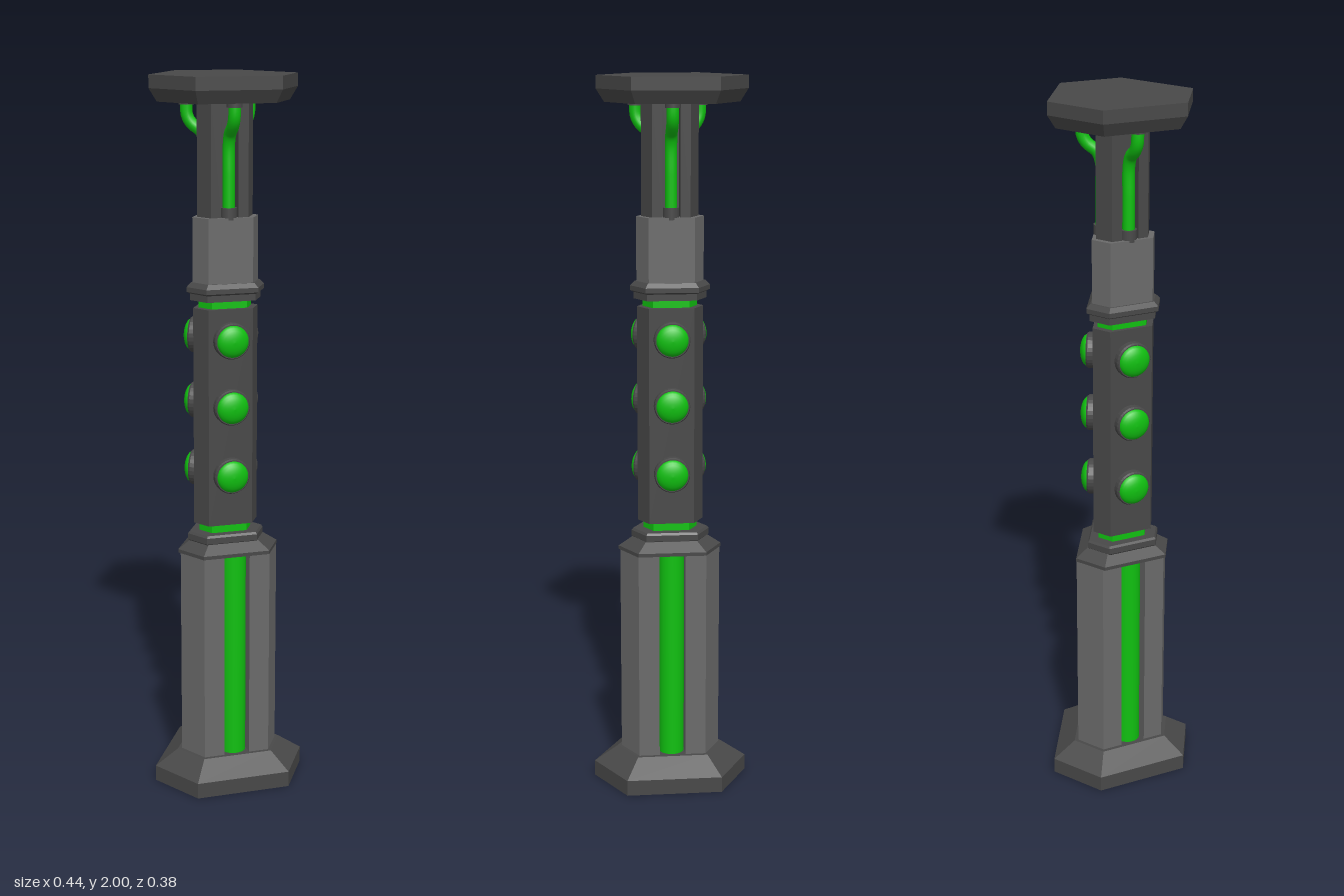
import * as THREE from 'three';

const DARK = 0x484848, LIGHT = 0x6a6a6a, GREEN = 0x10c010;
const mat = (color, flatShading = false) => new THREE.MeshStandardMaterial({ color, flatShading });

function add(parent, name, geometry, color, flat = false) {
  const mesh = new THREE.Mesh(geometry, mat(color, flat));
  mesh.name = name;
  parent.add(mesh);
  return mesh;
}

// Hexagon with three long sides (a) alternating with three short ones (b);
// each long side may carry a rectangular groove.
function hexPoints(a, b, grooveHalf = 0, grooveDepth = 0) {
  const d = (a + 2 * b) / (2 * Math.sqrt(3));
  const points = [];
  for (const deg of [-90, 30, 150]) {
    const t = THREE.MathUtils.degToRad(deg), c = Math.cos(t), s = Math.sin(t);
    const put = (along, out) => points.push(new THREE.Vector2(out * c - along * s, out * s + along * c));
    put(-a / 2, d);
    if (grooveHalf) {
      put(-grooveHalf, d);
      put(-grooveHalf, d - grooveDepth);
      put(grooveHalf, d - grooveDepth);
      put(grooveHalf, d);
    }
    put(a / 2, d);
  }
  return points;
}

// Solid through stacked hexagons, each given as [long, short, y]
function hexStack(levels) {
  const pos = [];
  const rings = levels.map(([a, b, y]) => hexPoints(a, b).map(p => [p.x, y, -p.y]));
  const tri = (...corners) => corners.forEach(c => pos.push(...c));
  const last = rings.length - 1;
  for (let i = 0; i < 6; i++) {
    const j = (i + 1) % 6;
    for (let k = 0; k < last; k++) {
      tri(rings[k][i], rings[k][j], rings[k + 1][j]);
      tri(rings[k][i], rings[k + 1][j], rings[k + 1][i]);
    }
    tri([0, levels[last][2], 0], rings[last][i], rings[last][j]);
    tri([0, levels[0][2], 0], rings[0][j], rings[0][i]);
  }
  const g = new THREE.BufferGeometry();
  g.setAttribute('position', new THREE.Float32BufferAttribute(pos, 3));
  g.computeVertexNormals();
  return g;
}

// Upright grooved hexagonal bar
function groovedBar(a, b, half, depth, y0, y1) {
  const g = new THREE.ExtrudeGeometry(new THREE.Shape(hexPoints(a, b, half, depth)),
    { depth: y1 - y0, bevelEnabled: false });
  return g.rotateX(-Math.PI / 2).translate(0, y0, 0);
}

// Vertical cylinder at distance z in front of the axis
const rod = (r, y0, y1, z) =>
  new THREE.CylinderGeometry(r, r, y1 - y0, 24).translate(0, (y0 + y1) / 2, z);

// Repeats a part on the three long sides
function onThreeSides(parent, name, build) {
  for (let i = 0; i < 3; i++) {
    const side = new THREE.Group();
    side.name = name + (i + 1);
    side.rotation.y = i * Math.PI * 2 / 3;
    build(side);
    parent.add(side);
  }
}

export function createModel() {
  const model = new THREE.Group();
  model.name = 'pylon';

  // Foot and grooved lower column
  const lower = new THREE.Group();
  lower.name = 'lowerSection';
  lower.position.z = 0.018;
  model.add(lower);
  add(lower, 'foot', hexStack([[0.27, 0.17, 0], [0.27, 0.17, 0.045], [0.2, 0.105, 0.09]]), DARK, true);
  add(lower, 'lowerColumn', groovedBar(0.19, 0.092, 0.037, 0.05, 0.085, 0.69), LIGHT, true);
  onThreeSides(lower, 'lightStrip', side => add(side, 'strip', rod(0.036, 0.085, 0.692, 0.069), GREEN));

  // Upper section, slightly off the foot's axis
  const upper = new THREE.Group();
  upper.name = 'upperSection';
  upper.position.set(-0.008, 0, 0.02);
  model.add(upper);
  const shoulder = add(upper, 'shoulder',
    hexStack([[0.19, 0.1, 0.688], [0.19, 0.1, 0.698], [0.145, 0.07, 0.722]]), DARK, true);
  shoulder.position.x = 0.005;
  add(upper, 'lowerCollar',
    hexStack([[0.14, 0.07, 0.718], [0.145, 0.075, 0.723], [0.145, 0.075, 0.74], [0.14, 0.07, 0.746]]), DARK, true);
  add(upper, 'lowerGlowBand', hexStack([[0.1, 0.05, 0.74], [0.1, 0.05, 0.775]]), GREEN, true);
  add(upper, 'lampHousing', hexStack([[0.125, 0.058, 0.77], [0.125, 0.058, 1.38]]), DARK, true);
  add(upper, 'upperGlowBand', hexStack([[0.1, 0.05, 1.375], [0.1, 0.05, 1.41]]), GREEN, true);
  add(upper, 'upperCollar', hexStack([[0.135, 0.065, 1.402], [0.135, 0.065, 1.42], [0.145, 0.075, 1.425],
    [0.145, 0.075, 1.438], [0.13, 0.065, 1.45]]), DARK, true);
  add(upper, 'sleeve', hexStack([[0.125, 0.06, 1.445], [0.125, 0.06, 1.626]]), LIGHT, true);
  add(upper, 'neck', groovedBar(0.104, 0.052, 0.024, 0.032, 1.62, 1.94), DARK, true);

  // Domed lamps in round bezels
  const bezelProfile = [[0, 0.06], [0.05, 0.06], [0.05, 0.086], [0.047, 0.091], [0.043, 0.091], [0, 0.091]]
    .map(p => new THREE.Vector2(...p));
  const domeProfile = [];
  for (let i = 0; i <= 6; i++) {
    const t = i / 6 * Math.PI / 2;
    domeProfile.push(new THREE.Vector2(0.045 * Math.cos(t), 0.088 + 0.022 * Math.sin(t)));
  }
  onThreeSides(upper, 'lampRow', side => {
    for (const y of [0.915, 1.11, 1.295]) {
      add(side, 'lampBezel', new THREE.LatheGeometry(bezelProfile, 28).rotateX(Math.PI / 2).translate(0, y, 0), DARK, true);
      add(side, 'lampDome', new THREE.LatheGeometry(domeProfile, 28).rotateX(Math.PI / 2).translate(0, y, 0), GREEN);
    }
  });

  // Pipes rising along the neck and bending out into the cap
  const path = new THREE.CatmullRomCurve3([[1.64, 0.05], [1.74, 0.05], [1.82, 0.051], [1.848, 0.062],
    [1.868, 0.087], [1.89, 0.1], [1.94, 0.102]].map(([y, z]) => new THREE.Vector3(0, y, z)));
  onThreeSides(upper, 'pipe', side => {
    add(side, 'pipeTube', new THREE.TubeGeometry(path, 40, 0.0165, 14), GREEN);
    add(side, 'pipeLowerSocket', rod(0.022, 1.62, 1.652, 0.05), DARK);
    add(side, 'pipeUpperSocket', rod(0.021, 1.918, 1.94, 0.102), DARK);
  });

  // Cap plate, turned a touch
  const cap = add(upper, 'cap',
    hexStack([[0.21, 0.155, 1.93], [0.232, 0.177, 1.965], [0.232, 0.177, 2]]), DARK, true);
  cap.position.z = -0.008;
  cap.rotation.y = -0.03;

  return model;
}
